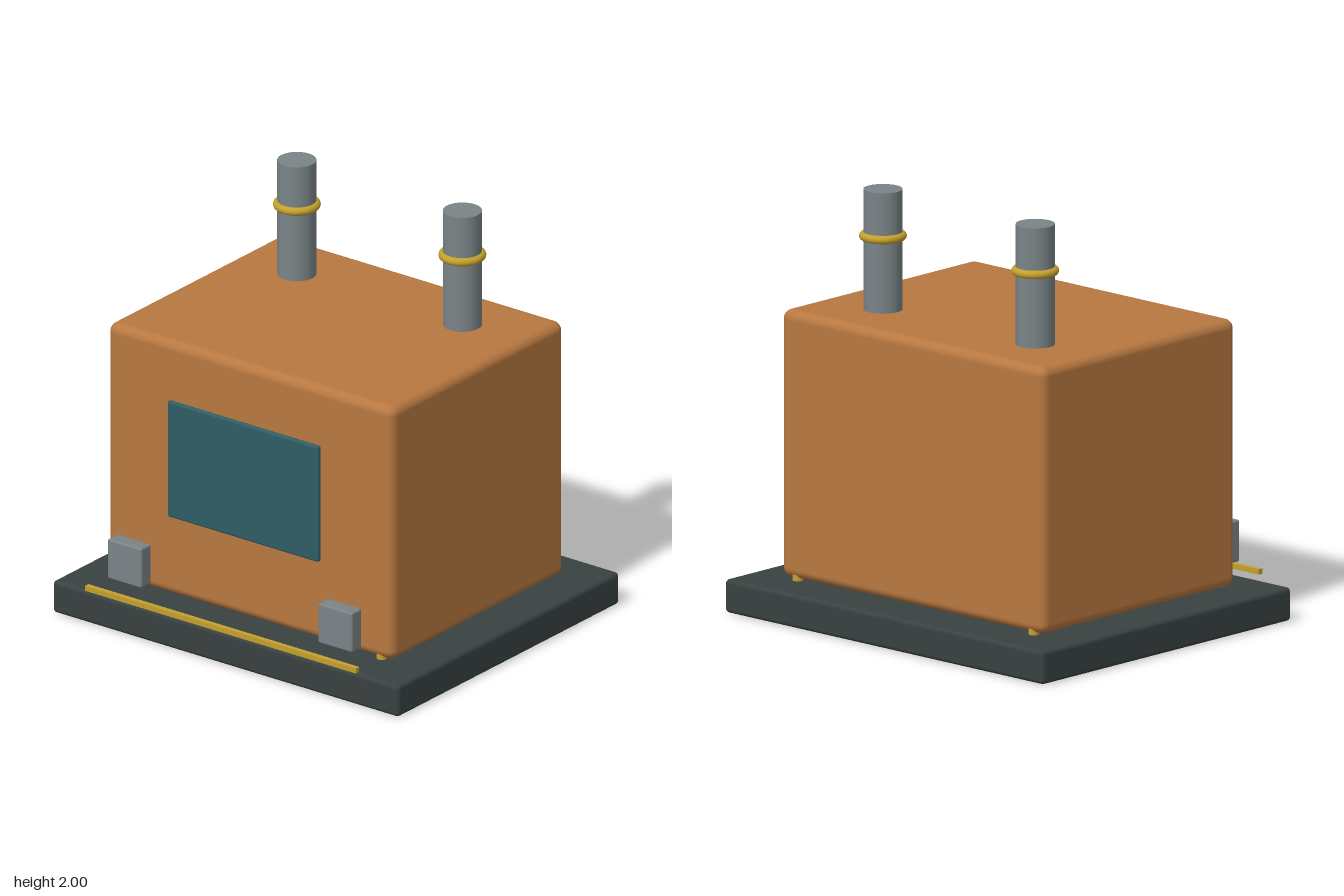
import * as THREE from 'three';
import { RoundedBoxGeometry } from 'three/addons/geometries/RoundedBoxGeometry.js';

const material = (name, color) => {
  const m = new THREE.MeshStandardMaterial({ color });
  m.name = name;
  return m;
};

export function createModel() {
  const group = new THREE.Group();
  const copper = material('copper', 0xb87840);
  const iron = material('dark iron', 0x394141);
  const steel = material('steel', 0x7a8487);
  const brass = material('brass', 0xc4a02e);
  const glass = material('teal glass', 0x305d65);

  const add = (name, geometry, mat, x, y, z) => {
    const mesh = new THREE.Mesh(geometry, mat);
    mesh.name = name;
    mesh.position.set(x, y, z);
    group.add(mesh);
    return mesh;
  };
  // Rounded box given by its low and high corners
  const box = (name, mat, [x0, y0, z0], [x1, y1, z1], radius) =>
    add(name, new RoundedBoxGeometry(x1 - x0, y1 - y0, z1 - z0, 4, radius), mat,
      (x0 + x1) / 2, (y0 + y1) / 2, (z0 + z1) / 2);

  // Base slab, main casing and front window
  box('base', iron, [-1, 0.002, -0.85], [1, 0.16, 0.815], 0.02);
  box('body', copper, [-0.825, 0.17, -0.665], [0.825, 1.432, 0.633], 0.045);
  box('window', glass, [-0.437, 0.583, 0.66], [0.437, 1.162, 0.685], 0.012);

  // Brass rail along the front edge
  add('frontRail', new THREE.BoxGeometry(1.564, 0.025, 0.025), brass, 0, 0.192, 0.838);

  for (const side of [-1, 1]) {
    const label = side > 0 ? 'left' : 'right';

    // Chimney with a brass collar
    add(label + 'Chimney', new THREE.CylinderGeometry(0.09, 0.09, 0.62, 32), steel,
      side * 0.478, 1.69, -0.345);
    add(label + 'ChimneyCollar', new THREE.TorusGeometry(0.09, 0.02, 12, 40), brass,
      side * 0.478, 1.78, -0.345).rotation.x = Math.PI / 2;

    // Front control block
    const cx = side * 0.608;
    box(label + 'FrontBlock', steel, [cx - 0.098, 0.237, 0.705], [cx + 0.098, 0.435, 0.782], 0.01);

    // Pins that carry the body, and feet set flush into the base
    for (const end of [-1, 1]) {
      add(label + 'Pin', new THREE.CylinderGeometry(0.025, 0.025, 0.06, 16), brass,
        side * 0.74, 0.16, -0.017 + end * 0.617);
      add(label + 'Foot', new THREE.CylinderGeometry(0.06, 0.06, 0.04, 24), iron,
        side * 0.8, 0.02, end * 0.695);
    }
  }
  return group;
}
